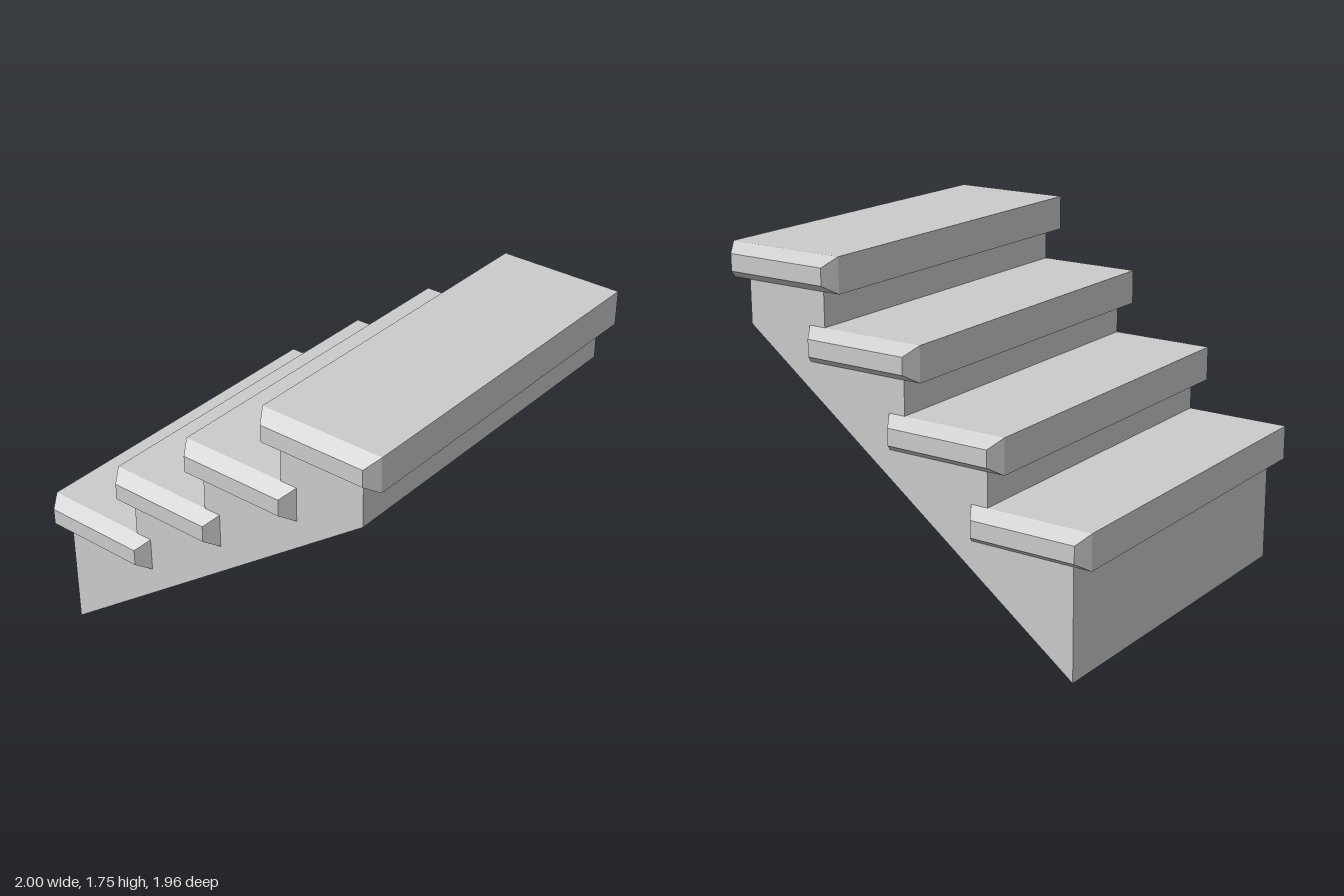
import * as THREE from 'three';

const STEPS = 4, RUN = 0.4545, RISE = 0.343;
const TREAD_W = 0.636, TREAD_H = 0.174, BEVEL = 0.045;
const HALF_Z = 0.91, END_Z = 0.98;
const FIRST_X = -1, FIRST_Y = 0.55;

const material = new THREE.MeshStandardMaterial({ color: 0xcccccc, flatShading: true });

// Slab whose two ends taper inwards beyond the side walls
function treadGeometry() {
  const g = new THREE.BoxGeometry(TREAD_W, TREAD_H, 3, 1, 1, 3).toNonIndexed();
  const p = g.attributes.position;
  for (let i = 0; i < p.count; i++) {
    const z = p.getZ(i), end = Math.abs(z) > 1;
    const inset = end ? BEVEL : 0;
    p.setXYZ(i,
      p.getX(i) - Math.sign(p.getX(i)) * inset,
      p.getY(i) - Math.sign(p.getY(i)) * inset,
      Math.sign(z) * (end ? END_Z : HALF_Z));
  }
  g.computeVertexNormals();
  return g;
}

// Stepped side profile with a sloping underside
function baseGeometry() {
  const s = new THREE.Shape();
  s.moveTo(-0.908, 0);
  s.lineTo(0.905, 1.365);
  s.lineTo(0.905, FIRST_Y + (STEPS - 1) * RISE);
  for (let i = STEPS - 1; i > 0; i--) {
    const x = -0.908 + i * RUN;
    s.lineTo(x, FIRST_Y + i * RISE);
    s.lineTo(x, FIRST_Y + (i - 1) * RISE);
  }
  s.lineTo(-0.908, FIRST_Y);
  s.closePath();
  const g = new THREE.ExtrudeGeometry(s, { depth: 2 * HALF_Z, bevelEnabled: false });
  return g.translate(0, 0, -HALF_Z);
}

export function createModel() {
  const group = new THREE.Group();
  group.name = 'staircase';

  const base = new THREE.Mesh(baseGeometry(), material);
  base.name = 'stairBase';
  group.add(base);

  // Treads climb towards +x
  const geometry = treadGeometry();
  for (let i = 0; i < STEPS; i++) {
    const tread = new THREE.Mesh(geometry, material);
    tread.name = `tread${i + 1}`;
    tread.position.set(FIRST_X + TREAD_W / 2 + i * RUN, FIRST_Y + TREAD_H / 2 + i * RISE, 0);
    group.add(tread);
  }
  return group;
}
